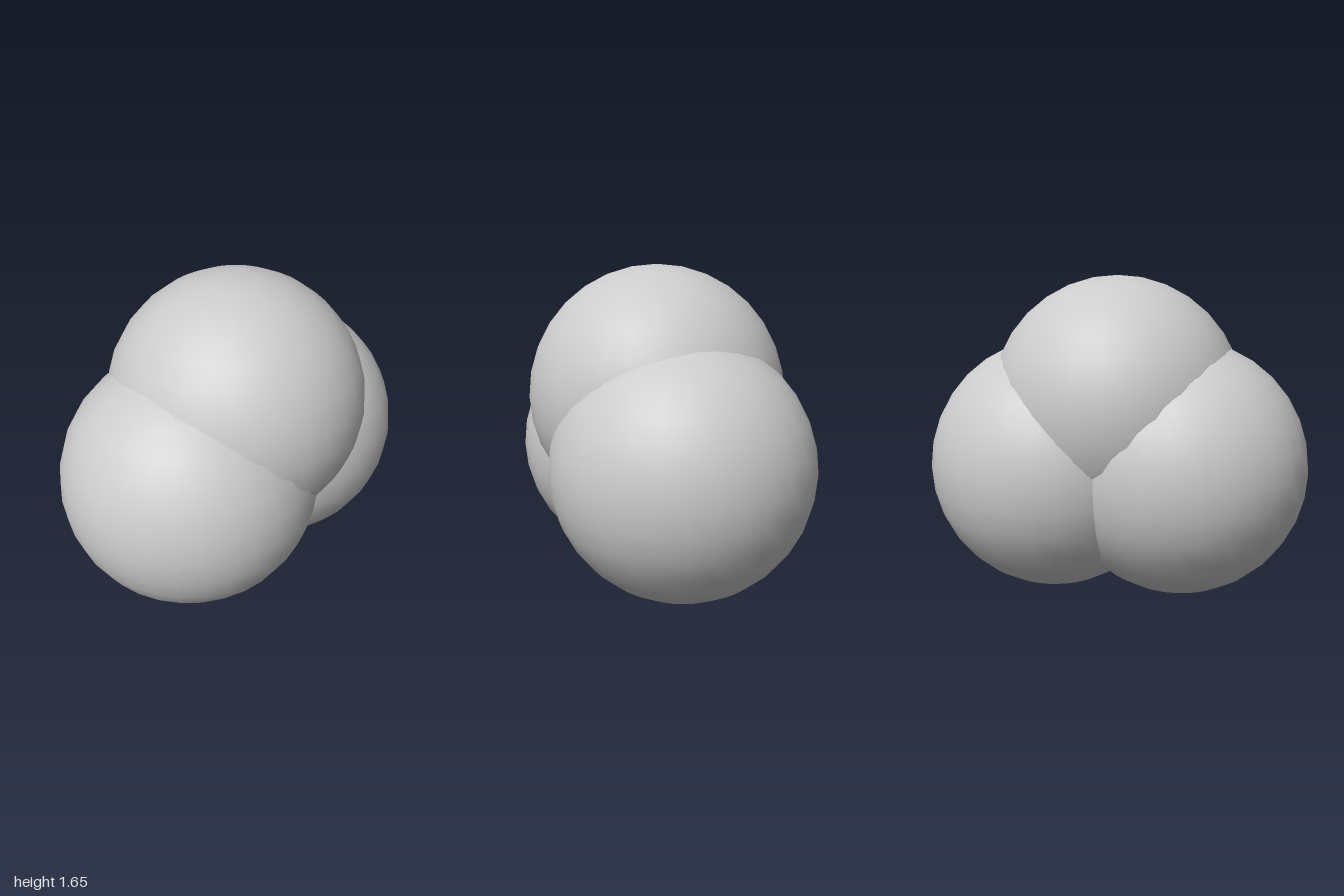
import * as THREE from 'three';

const RADIUS = 0.665;

export function createModel() {
  const model = new THREE.Group();
  model.name = 'sphereCluster';
  const material = new THREE.MeshStandardMaterial({ color: 0xcccccc });
  const geometry = new THREE.SphereGeometry(RADIUS, 32, 16);

  // Three equal overlapping balls: two side by side, one resting above
  const balls = [
    ['rightBall', -0.335, RADIUS, -0.023],
    ['leftBall', 0.335, RADIUS, 0.02],
    ['topBall', 0, 0.99, 0.02],
  ];
  for (const [name, x, y, z] of balls) {
    const ball = new THREE.Mesh(geometry, material);
    ball.name = name;
    ball.position.set(x, y, z);
    model.add(ball);
  }
  return model;
}
